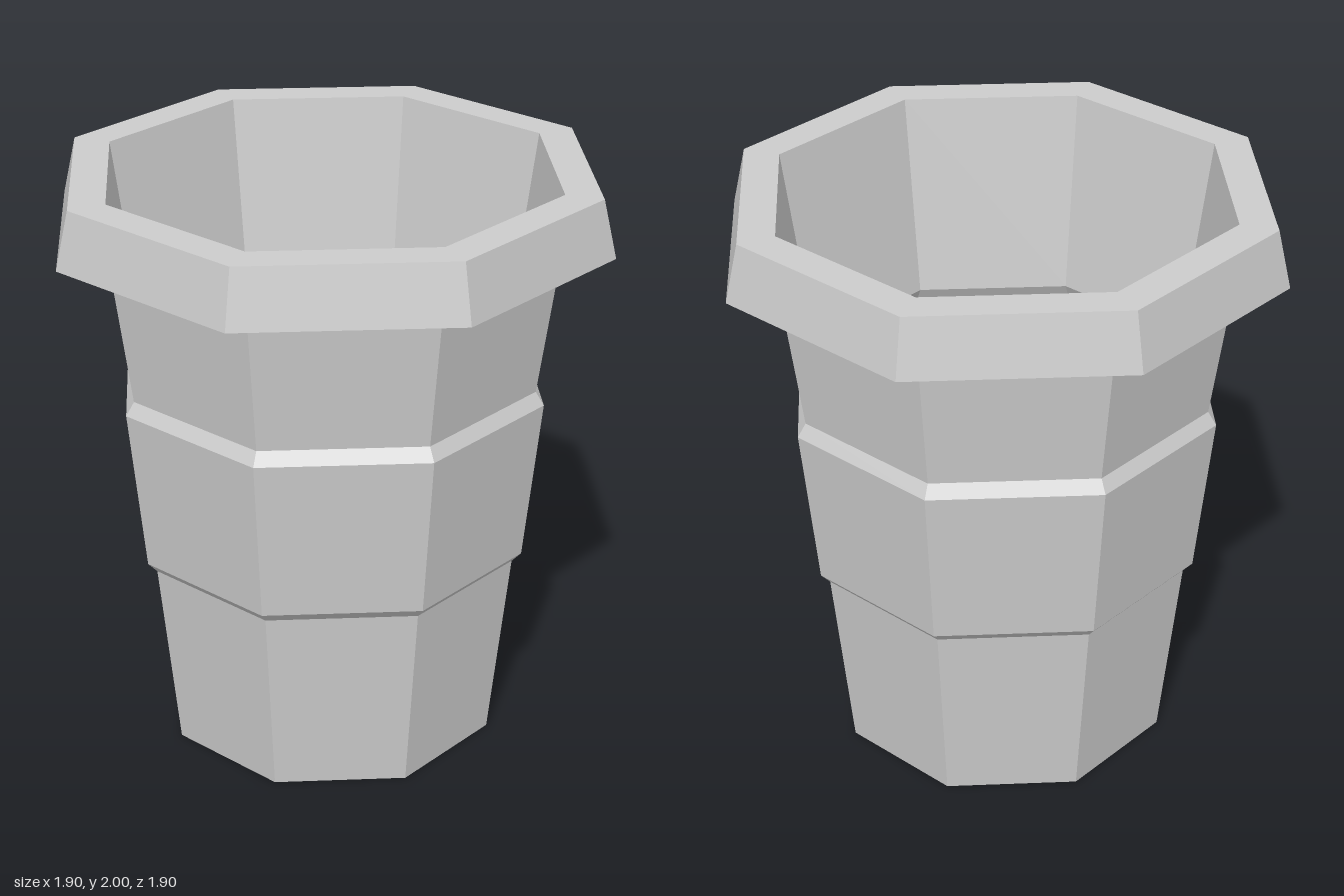
import * as THREE from 'three';

const SIDES = 8;
const material = new THREE.MeshStandardMaterial({ color: 0xcccccc, flatShading: true });

// Eight-sided ring of faces from a [radius, height] profile
function facetedLathe(name, profile) {
  const points = profile.map(([r, y]) => new THREE.Vector2(r, y));
  const geometry = new THREE.LatheGeometry(points, SIDES).toNonIndexed();
  geometry.computeVertexNormals();
  const mesh = new THREE.Mesh(geometry, material);
  mesh.name = name;
  return mesh;
}

export function createModel() {
  const group = new THREE.Group();
  group.name = 'cup';

  // Base and stepped outer wall, running up beneath the rim
  group.add(facetedLathe('outerWall', [
    [0, 0], [0.578, 0], [0.648, 0.67], [0.68, 0.705],
    [0.737, 1.265], [0.708, 1.31], [0.775, 1.8], [0.797, 1.967],
  ]));

  // Overhanging rim: hollow underside, thin lip, sloped skirt and flat top
  group.add(facetedLathe('rim', [
    [0.797, 1.967], [0.878, 1.967], [0.918, 1.8],
    [0.95, 1.807], [0.904, 2], [0.777, 2],
  ]));

  // Inner wall following the steps down to the floor
  group.add(facetedLathe('innerWall', [
    [0.777, 2], [0.676, 1.31], [0.703, 1.262],
    [0.65, 0.72], [0.619, 0.685], [0.552, 0.03], [0, 0.03],
  ]));

  return group;
}
